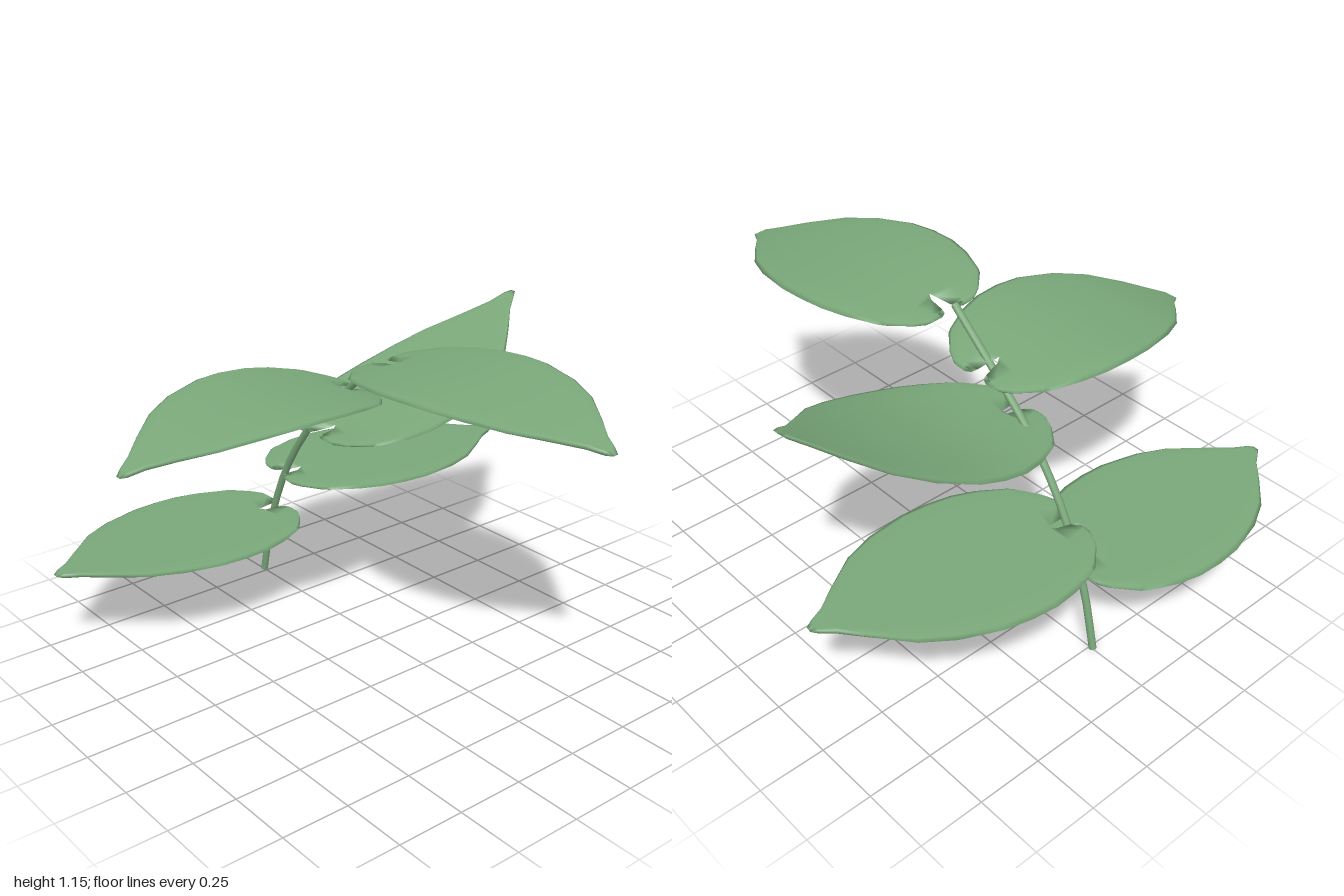
import * as THREE from 'three';
import { mergeVertices } from 'three/addons/utils/BufferGeometryUtils.js';

// Blade rows: distance along the leaf, half-width of the notch, half-width of the edge
const ROWS = [
  [0, 0.05, 0.09], [0.01, 0.03, 0.125], [0.03, 0.022, 0.165], [0.09, 0.012, 0.24],
  [0.11, 0, 0.255], [0.21, 0, 0.302], [0.3, 0, 0.326], [0.4, 0, 0.332], [0.5, 0, 0.325],
  [0.65, 0, 0.285], [0.76, 0, 0.23], [0.87, 0, 0.135], [0.95, 0, 0.06],
  [1.0, 0, 0.027], [1.022, 0, 0.012],
];
// Cross-section of half a blade: across the top, round the rim, back underneath
const SECTION = [[0, 1], [0.35, 1], [0.7, 1], [0.94, 1], [1, 0], [0.94, -1], [0.7, -1], [0.35, -1], [0, -1]];
const HALF_THICKNESS = 0.007;

// Heart-shaped blade growing along +z, with height b*s + c*s*s
function leafGeometry(b, c) {
  const positions = [];
  const index = [];
  const n = SECTION.length;
  for (const side of [1, -1]) {
    const start = positions.length / 3;
    ROWS.forEach(([s, inner, outer], i) => {
      const endRow = i === 0 || i === ROWS.length - 1;
      for (const [f, h] of SECTION) {
        const closed = endRow || (f === 0 && inner > 0);
        const y = b * s + c * s * s + (closed ? 0 : h * HALF_THICKNESS);
        positions.push(side * (inner + (outer - inner) * f), y, s);
      }
    });
    for (let i = 0; i < ROWS.length - 1; i++) {
      for (let j = 0; j < n - 1; j++) {
        const p = start + i * n + j;
        const q = p + n;
        if (side > 0) index.push(p, q, p + 1, q, q + 1, p + 1);
        else index.push(p, p + 1, q, q, p + 1, q + 1);
      }
    }
  }
  const geometry = new THREE.BufferGeometry();
  geometry.setAttribute('position', new THREE.Float32BufferAttribute(positions, 3));
  geometry.setIndex(index);
  const merged = mergeVertices(geometry, 1e-5);
  merged.computeVertexNormals();
  return merged;
}

export function createModel() {
  const group = new THREE.Group();
  const green = new THREE.MeshStandardMaterial({ color: 0x7aa87a });
  green.name = 'leafGreen';

  // Arching stem
  const points = [[-0.765, 0], [-0.7, 0.25], [-0.58, 0.52], [-0.41, 0.75], [-0.28, 0.87], [-0.02, 1.09]]
    .map(([x, y]) => new THREE.Vector3(x, y, 0));
  const curve = new THREE.CatmullRomCurve3(points);
  const stem = new THREE.Mesh(new THREE.TubeGeometry(curve, 14, 0.014, 8), green);
  stem.name = 'stem';
  group.add(stem);

  // Cut ends of the stem
  for (const t of [0, 1]) {
    const cap = new THREE.Mesh(new THREE.CircleGeometry(0.014, 8), green);
    cap.name = t ? 'stemTop' : 'stemFoot';
    const p = curve.getPointAt(t);
    cap.position.copy(p);
    cap.lookAt(p.clone().addScaledVector(curve.getTangentAt(t), t ? 1 : -1));
    group.add(cap);
  }

  // Leaves: name, base position, heading, bend terms
  const leaves = [
    ['lowerFrontLeaf', [-0.66, 0.33, -0.025], 0.01, 0, 0],
    ['lowerBackLeaf', [-0.61, 0.492, 0.03], Math.PI - 0.165, 0, 0],
    ['upperBackLeaf', [-0.28, 0.768, 0.095], Math.PI, 0.024, 0.335],
    ['upperFrontLeaf', [-0.222, 0.927, -0.085], 0, 0.3, -0.377],
    ['topLeaf', [-0.045, 1.085, -0.03], Math.PI / 2 + 0.108, 0.188, -0.252],
  ];
  for (const [name, position, heading, b, c] of leaves) {
    const leaf = new THREE.Mesh(leafGeometry(b, c), green);
    leaf.name = name;
    leaf.position.set(...position);
    leaf.rotation.y = heading;
    group.add(leaf);
  }
  return group;
}
